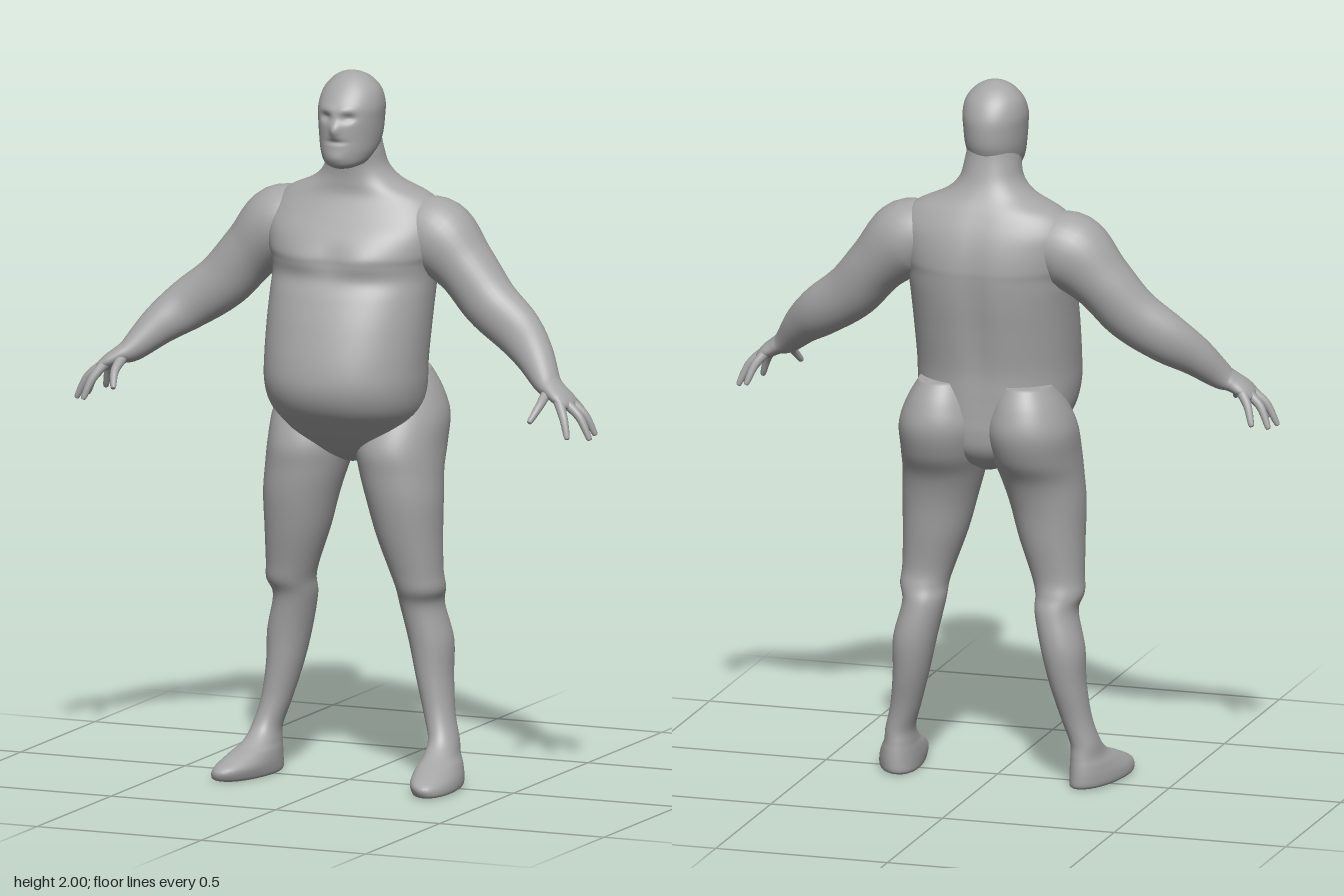
import * as THREE from 'three';

const skin = new THREE.MeshStandardMaterial({ color: 0xa6a6a6 });
skin.name = 'grey skin';

const bump = (v, centre, width) => Math.exp(-(((v - centre) / width) ** 2));

// Catmull-Rom resampling of a short table of cross-sections
function resample(table, steps) {
  const out = [];
  const last = table.length - 1;
  for (let i = 0; i < last; i++) {
    const [a, b, c, d] = [table[Math.max(i - 1, 0)], table[i], table[i + 1], table[Math.min(i + 2, last)]];
    for (let s = 0; s < steps; s++) {
      const t = s / steps;
      out.push(b.map((_, k) => {
        const slope = c[k] - a[k];
        const square = 2 * a[k] - 5 * b[k] + 4 * c[k] - d[k];
        const cube = 3 * b[k] - a[k] - 3 * c[k] + d[k];
        return b[k] + 0.5 * t * (slope + t * (square + t * cube));
      }));
    }
  }
  out.push(table[last].slice());
  return out;
}

// Closed smooth surface over rings of points; side -1 mirrors it
function skinRings(name, rings, side) {
  const n = rings[0].length;
  const points = rings.flat();
  const index = [];
  const tri = (a, b, c) => (side > 0 ? index.push(a, b, c) : index.push(a, c, b));
  for (let i = 0; i < rings.length - 1; i++) {
    for (let j = 0; j < n; j++) {
      const a = i * n + j;
      const b = i * n + (j + 1) % n;
      tri(a, a + n, b);
      tri(b, a + n, b + n);
    }
  }
  const centre = (ring) => ring.reduce((s, p) => s.add(p), new THREE.Vector3()).divideScalar(n);
  const start = points.push(centre(rings[0])) - 1;
  const end = points.push(centre(rings[rings.length - 1])) - 1;
  const top = (rings.length - 1) * n;
  for (let j = 0; j < n; j++) {
    const k = (j + 1) % n;
    tri(start, j, k);
    tri(end, top + k, top + j);
  }
  const geometry = new THREE.BufferGeometry();
  const flat = points.flatMap((p) => [p.x * side, p.y, p.z]);
  geometry.setAttribute('position', new THREE.Float32BufferAttribute(flat, 3));
  geometry.setIndex(index);
  geometry.computeVertexNormals();
  const mesh = new THREE.Mesh(geometry, skin);
  mesh.name = name;
  return mesh;
}

// Level rings: [y, centre x, half width, front z, back z], shaped by a rule
function levelLoft(name, table, { power = 2, segments = 48, side = 1, steps = 6, rule }) {
  const pw = (v) => Math.sign(v) * Math.abs(v) ** (2 / power);
  const rings = resample(table, steps).map(([y, cx, w, f, b]) =>
    Array.from({ length: segments }, (_, j) => {
      const a = (j / segments) * Math.PI * 2;
      const p = new THREE.Vector3(cx + w * pw(Math.cos(a)), y, (f + b) / 2 + ((f - b) / 2) * pw(Math.sin(a)));
      rule(p, Math.sin(a));
      return p;
    }));
  return skinRings(name, rings, side);
}

// Rings square to a path: [x, y, z, thickness radius, sideways radius]
function limbLoft(name, table, side, segments) {
  const rows = resample(table, 6);
  const at = (i) => new THREE.Vector3(...rows[Math.min(Math.max(i, 0), rows.length - 1)].slice(0, 3));
  const rings = rows.map((row, i) => {
    const t = at(i + 1).sub(at(i - 1)).normalize();
    const e2 = new THREE.Vector3(0, 0, 1).addScaledVector(t, -t.z).normalize();
    const e1 = t.clone().cross(e2);
    return Array.from({ length: segments }, (_, j) => {
      const a = (j / segments) * Math.PI * 2;
      return at(i).addScaledVector(e1, row[3] * Math.cos(a)).addScaledVector(e2, row[4] * Math.sin(a));
    });
  });
  return skinRings(name, rings, side);
}

const TORSO = [
  [0.9, 0, 0.03, 0, -0.1], [0.93, 0, 0.09, 0.06, -0.15], [0.97, 0, 0.15, 0.11, -0.18],
  [1.02, 0, 0.19, 0.165, -0.19], [1.07, 0, 0.215, 0.212, -0.19], [1.13, 0, 0.226, 0.235, -0.19],
  [1.2, 0, 0.228, 0.23, -0.192], [1.3, 0, 0.231, 0.202, -0.207], [1.38, 0, 0.233, 0.17, -0.22],
  [1.43, 0, 0.235, 0.144, -0.226], [1.47, 0, 0.24, 0.141, -0.229], [1.5, 0, 0.25, 0.136, -0.229],
  [1.55, 0, 0.258, 0.11, -0.221], [1.6, 0, 0.255, 0.068, -0.205], [1.65, 0, 0.215, 0.035, -0.18],
  [1.69, 0, 0.13, 0.03, -0.155], [1.73, 0, 0.09, 0.032, -0.136], [1.78, 0, 0.077, 0.04, -0.122],
  [1.82, 0, 0.07, 0.04, -0.115],
];

const HEAD = [
  [1.737, 0, 0.028, 0.075, 0], [1.75, 0, 0.056, 0.094, -0.05], [1.78, 0, 0.074, 0.101, -0.1],
  [1.82, 0, 0.083, 0.1, -0.124], [1.87, 0, 0.088, 0.099, -0.13], [1.91, 0, 0.09, 0.088, -0.125],
  [1.95, 0, 0.08, 0.06, -0.105], [1.98, 0, 0.055, 0.03, -0.075], [1.995, 0, 0.028, 0.005, -0.045],
  [2, 0, 0.004, -0.016, -0.024],
];

const LEG = [
  [0, 0.275, 0.052, 0.175, -0.09], [0.008, 0.28, 0.062, 0.195, -0.105], [0.035, 0.28, 0.063, 0.195, -0.107],
  [0.065, 0.277, 0.055, 0.13, -0.105], [0.09, 0.273, 0.045, 0.065, -0.102], [0.13, 0.268, 0.04, 0.015, -0.1],
  [0.2, 0.248, 0.042, -0.006, -0.11], [0.3, 0.228, 0.05, -0.008, -0.135], [0.4, 0.215, 0.06, -0.003, -0.15],
  [0.5, 0.193, 0.059, 0.01, -0.14], [0.55, 0.197, 0.067, 0.033, -0.125], [0.6, 0.188, 0.073, 0.045, -0.117],
  [0.7, 0.17, 0.09, 0.07, -0.13], [0.8, 0.157, 0.104, 0.09, -0.145], [0.88, 0.143, 0.113, 0.098, -0.17],
  [0.95, 0.133, 0.12, 0.1, -0.213], [1.03, 0.128, 0.122, 0.07, -0.237], [1.1, 0.125, 0.1, 0.03, -0.222],
  [1.16, 0.12, 0.07, -0.02, -0.19],
];

const ARM = [
  [0.14, 1.56, -0.08, 0.08, 0.085], [0.235, 1.54, -0.072, 0.11, 0.105], [0.325, 1.46, -0.066, 0.086, 0.088],
  [0.405, 1.37, -0.052, 0.08, 0.073], [0.5, 1.3, -0.028, 0.072, 0.06], [0.568, 1.245, 0.014, 0.057, 0.052],
  [0.628, 1.182, 0.062, 0.038, 0.043], [0.658, 1.163, 0.077, 0.027, 0.045], [0.69, 1.143, 0.086, 0.022, 0.05],
  [0.712, 1.127, 0.09, 0.015, 0.043], [0.722, 1.118, 0.092, 0.004, 0.02],
];

// Each digit: base, middle and tip
const DIGITS = {
  thumb: [[0.645, 1.16, 0.095], [0.646, 1.13, 0.15], [0.634, 1.092, 0.188]],
  'index finger': [[0.69, 1.142, 0.12], [0.717, 1.1, 0.146], [0.735, 1.05, 0.163]],
  'middle finger': [[0.7, 1.137, 0.1], [0.747, 1.1, 0.107], [0.778, 1.043, 0.11]],
  'ring finger': [[0.7, 1.137, 0.075], [0.744, 1.1, 0.065], [0.77, 1.046, 0.053]],
  'little finger': [[0.69, 1.143, 0.055], [0.717, 1.108, 0.033], [0.735, 1.06, 0.012]],
};

// Spine groove at the back, chest hollow between the pectorals
function shapeTorso(p, facing) {
  const middle = bump(p.x, 0, 0.035);
  if (facing < 0) p.z += 0.014 * middle * bump(p.y, 1.35, 0.22);
  else p.z += facing * bump(p.y, 1.49, 0.045) * (0.01 * bump(Math.abs(p.x), 0.1, 0.06) - 0.006 * middle);
}

// Eye sockets, brow, nose, mouth and chin
function shapeFace(p, facing) {
  if (facing <= 0) return;
  const x = Math.abs(p.x);
  const sockets = -0.013 * bump(x, 0.034, 0.018) * bump(p.y, 1.882, 0.012);
  const brow = 0.004 * bump(x, 0.03, 0.03) * bump(p.y, 1.905, 0.012);
  const nose = 0.014 * bump(x, 0, 0.014) * bump(p.y, 1.848, 0.02);
  const mouth = -0.006 * bump(x, 0, 0.028) * bump(p.y, 1.815, 0.006);
  const chin = 0.004 * bump(x, 0, 0.03) * bump(p.y, 1.77, 0.015);
  p.z += facing * (sockets + brow + nose + mouth + chin);
}

// Toes turn slightly outward
function shapeFoot(p) {
  p.x += 0.15 * (p.z + 0.02) * Math.max(0, 1 - p.y / 0.12);
}

export function createModel() {
  const model = new THREE.Group();
  model.name = 'standing man';
  model.add(levelLoft('torso and neck', TORSO, { power: 2.15, segments: 64, rule: shapeTorso }));
  model.add(levelLoft('head', HEAD, { segments: 96, steps: 10, rule: shapeFace }));
  for (const side of [1, -1]) {
    const label = side > 0 ? 'left' : 'right';
    model.add(levelLoft(`${label} leg`, LEG, { power: 2.1, side, rule: shapeFoot }));
    model.add(limbLoft(`${label} arm`, ARM, side, 32));
    for (const [digit, [base, mid, tip]] of Object.entries(DIGITS)) {
      const beyond = tip.map((v, k) => v + (v - mid[k]) * 0.1);
      const path = [[...base, 0.015, 0.015], [...mid, 0.012, 0.012], [...tip, 0.008, 0.008], [...beyond, 0.002, 0.002]];
      model.add(limbLoft(`${label} ${digit}`, path, side, 14));
    }
  }
  return model;
}
